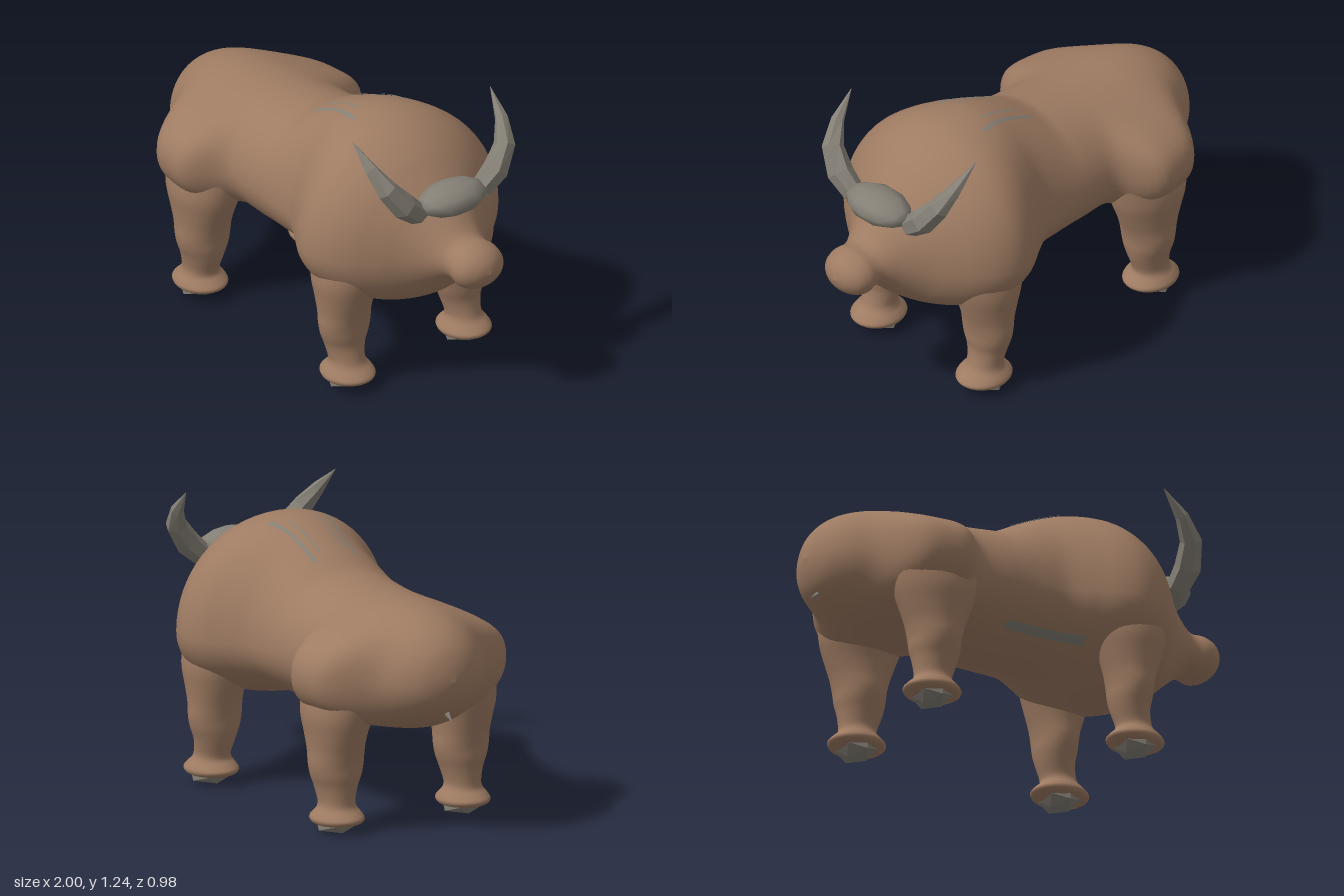
import * as THREE from 'three';

const hide = new THREE.MeshStandardMaterial({ color: 0x9e7b62 });
hide.name = 'brown hide';
const horn = new THREE.MeshStandardMaterial({ color: 0x858076 });
horn.name = 'grey horn';

// Body stations from tail to muzzle: x, top, bottom, half width, height of widest point
const stations = [
  [-1, 0.7, 0.7, 0, 0.7], [-0.985, 0.775, 0.63, 0.075, 0.7], [-0.95, 0.845, 0.565, 0.15, 0.69],
  [-0.88, 0.905, 0.505, 0.22, 0.685], [-0.78, 0.947, 0.458, 0.275, 0.68], [-0.65, 0.968, 0.442, 0.31, 0.68],
  [-0.5, 0.97, 0.44, 0.33, 0.68], [-0.35, 0.977, 0.44, 0.338, 0.68], [-0.2, 0.993, 0.43, 0.342, 0.68],
  [-0.13, 1.007, 0.43, 0.342, 0.68], [-0.03, 1.06, 0.432, 0.343, 0.67], [0.08, 1.113, 0.43, 0.353, 0.67],
  [0.18, 1.147, 0.415, 0.405, 0.665], [0.28, 1.157, 0.39, 0.465, 0.66], [0.37, 1.148, 0.375, 0.486, 0.66],
  [0.46, 1.115, 0.37, 0.462, 0.66], [0.54, 1.065, 0.38, 0.405, 0.66], [0.61, 1.0, 0.41, 0.325, 0.66],
  [0.68, 0.925, 0.46, 0.235, 0.67], [0.75, 0.855, 0.525, 0.165, 0.675], [0.81, 0.797, 0.575, 0.125, 0.68],
  [0.85, 0.778, 0.582, 0.115, 0.68], [0.9, 0.778, 0.572, 0.122, 0.675], [0.95, 0.758, 0.592, 0.105, 0.675],
  [0.985, 0.722, 0.63, 0.058, 0.675], [1, 0.676, 0.674, 0, 0.675],
];
const upper = new THREE.CatmullRomCurve3(stations.map((s) => new THREE.Vector3(s[0], s[1], s[3])), false, 'catmullrom');
const lower = new THREE.CatmullRomCurve3(stations.map((s) => new THREE.Vector3(s[0], s[2], s[4])), false, 'catmullrom');

// Point of the hide at curve position t and angle a, with the haunches swelling sideways
function hidePoint(t, a, lift = 0) {
  const p = upper.getPoint(t), q = lower.getPoint(t);
  const c = Math.cos(a), s = Math.sin(a);
  const y = q.z + s * (s > 0 ? p.y - q.z : q.z - q.y);
  const bulge = 0.165 * Math.exp(-(((p.x + 0.575) / 0.185) ** 4) - ((y - 0.66) / 0.22) ** 4);
  const side = Math.sign(c) * Math.min(1, Math.abs(c) * 1.6);
  return [p.x, y + s * lift, p.z * c + bulge * side + c * lift];
}

// Curve position for a given x
function tAt(x) {
  const i = stations.findIndex((s) => s[0] > x);
  const a = stations[i - 1][0], b = stations[i][0];
  return (i - 1 + (x - a) / (b - a)) / (stations.length - 1);
}

// Surface through a grid of points; rings close on themselves when closed is true
function gridGeometry(rows, cols, point, closed) {
  const pos = [], index = [];
  for (let i = 0; i < rows; i++) for (let j = 0; j < cols; j++) pos.push(...point(i, j));
  for (let i = 0; i < rows - 1; i++) {
    for (let j = 0; j < (closed ? cols : cols - 1); j++) {
      const k = (j + 1) % cols;
      const a = i * cols + j, b = a + cols, c = i * cols + k, d = c + cols;
      index.push(a, b, c, c, b, d);
    }
  }
  const g = new THREE.BufferGeometry();
  g.setAttribute('position', new THREE.Float32BufferAttribute(pos, 3));
  g.setIndex(index);
  g.computeVertexNormals();
  return g;
}

// Leg rings from top to sole: y, x radius, z radius, z centre
const legRings = [
  [0.64, 0.165, 0.13, 0.3], [0.52, 0.15, 0.142, 0.305], [0.43, 0.125, 0.127, 0.31], [0.36, 0.104, 0.12, 0.31],
  [0.3, 0.092, 0.12, 0.31], [0.25, 0.088, 0.11, 0.31], [0.2, 0.08, 0.092, 0.31], [0.14, 0.077, 0.078, 0.312],
  [0.11, 0.084, 0.084, 0.312], [0.088, 0.108, 0.1, 0.312], [0.065, 0.128, 0.112, 0.312], [0.045, 0.11, 0.1, 0.312],
  [0.035, 0.06, 0.055, 0.312], [0.035, 0.001, 0.001, 0.312],
];
function legGeometry(x, footX, widen, side) {
  const size = new THREE.CatmullRomCurve3(legRings.map((r) => new THREE.Vector3(r[0], r[1], r[2])), false, 'catmullrom');
  const centre = new THREE.CatmullRomCurve3(legRings.map((r) => new THREE.Vector3(r[0], r[3], 0)), false, 'catmullrom');
  const rows = 53, cols = 32;
  return gridGeometry(rows, cols, (i, j) => {
    const t = i / (rows - 1), p = size.getPoint(t), a = (j / cols) * Math.PI * 2;
    const up = THREE.MathUtils.smoothstep(p.x, 0.08, 0.22);
    const rx = p.y * (1 + (widen - 1) * up);
    return [footX + (x - footX) * up + Math.cos(a) * rx, p.x, side * centre.getPoint(t).y - Math.sin(a) * p.z];
  }, true);
}

// Faceted horn swept along its bend: x, y, z, radius
const hornPath = [
  [0.7, 0.9, 0.12, 0.03], [0.715, 0.905, 0.175, 0.05], [0.72, 0.965, 0.245, 0.057],
  [0.695, 1.055, 0.315, 0.047], [0.63, 1.14, 0.35, 0.029], [0.53, 1.238, 0.37, 0.001],
];
function hornGeometry(side) {
  const pts = hornPath.map((p) => new THREE.Vector3(p[0], p[1], p[2] * side));
  const last = pts.length - 1;
  const g = gridGeometry(pts.length, 6, (i, j) => {
    const d = pts[Math.min(i + 1, last)].clone().sub(pts[Math.max(i - 1, 0)]).normalize();
    const u = d.clone().cross(new THREE.Vector3(1, 0, 0)).normalize();
    const v = u.clone().cross(d);
    const a = (j / 6) * Math.PI * 2, r = hornPath[i][3];
    return pts[i].clone().addScaledVector(u, Math.cos(a) * r).addScaledVector(v, Math.sin(a) * r).toArray();
  }, true).toNonIndexed();
  g.computeVertexNormals();
  return g;
}

export function createModel() {
  const model = new THREE.Group();
  const add = (name, geometry, material) => {
    const mesh = new THREE.Mesh(geometry, material);
    mesh.name = name;
    model.add(mesh);
    return mesh;
  };

  // Body with hump, head and muzzle
  const rows = 151, cols = 64;
  add('body', gridGeometry(rows, cols, (i, j) => hidePoint(i / (rows - 1), (j / cols) * Math.PI * 2), true), hide);

  // Legs, hooves and horns on both sides
  for (const [side, label] of [[1, 'left'], [-1, 'right']]) {
    for (const [part, x, footX, widen] of [['Front', 0.4, 0.425, 1.02], ['Hind', -0.55, -0.563, 1.22]]) {
      add(`${label}${part}Leg`, legGeometry(x, footX, widen, side), hide);
      const hoof = add(`${label}${part}Hoof`, new THREE.IcosahedronGeometry(1, 0), horn);
      hoof.scale.set(0.085, 0.044, 0.105);
      hoof.position.set(footX, 0.04, side * 0.312);
    }
    add(`${label}Horn`, hornGeometry(side), horn);
  }

  // Knobbly horn base across the brow
  const brow = add('hornBase', new THREE.IcosahedronGeometry(1, 1), horn);
  brow.scale.set(0.108, 0.07, 0.168);
  brow.position.set(0.735, 0.93, 0);

  // Stubby tail tip
  const tail = add('tail', new THREE.ConeGeometry(0.025, 0.1, 5).toNonIndexed(), horn);
  tail.geometry.computeVertexNormals();
  tail.position.set(-0.935, 0.55, 0);
  tail.rotation.z = 2.2;

  // Thin coarse-hair streaks following the hump and the left flank
  const streak = (name, x0, x1, a0, a1) => add(name, gridGeometry(25, 4, (i, j) =>
    hidePoint(tAt(x0 + ((x1 - x0) * i) / 24), a0 + ((a1 - a0) * j) / 3, 0.004), false), horn);
  for (const [x0, x1, a0, a1] of [[-0.06, 0.25, 1.24, 1.29], [-0.03, 0.2, 1.385, 1.41]]) {
    streak('leftHumpStreak', x0, x1, a0, a1);
    streak('rightHumpStreak', x0, x1, Math.PI - a1, Math.PI - a0);
  }
  streak('flankStreak', -0.17, 0.19, -0.88, -0.72);

  return model;
}
